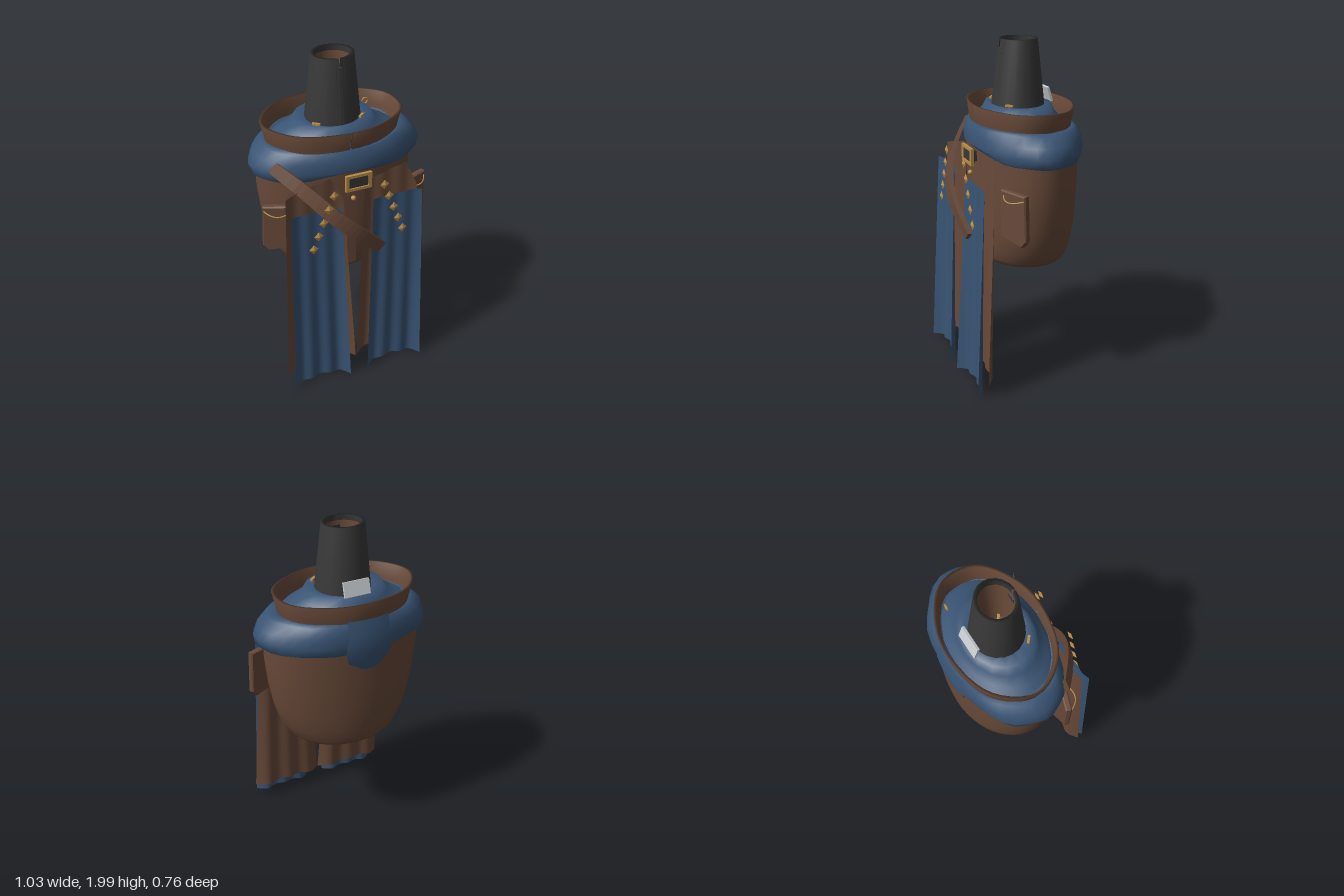
import * as THREE from 'three';
import { mergeVertices } from 'three/addons/utils/BufferGeometryUtils.js';

const mat = (name, color) => {
  const m = new THREE.MeshStandardMaterial({ color, side: THREE.DoubleSide });
  m.name = name;
  return m;
};

// Smooth surface from fn(u, v) -> [x, y, z]; u runs right, v runs up
function grid(nu, nv, fn, flat = false) {
  const pos = [], idx = [];
  for (let j = 0; j <= nv; j++)
    for (let i = 0; i <= nu; i++) pos.push(...fn(i / nu, j / nv, j));
  for (let j = 0; j < nv; j++)
    for (let i = 0; i < nu; i++) {
      const a = j * (nu + 1) + i, d = a + nu + 1;
      idx.push(a, a + 1, d + 1, a, d + 1, d);
    }
  let g = new THREE.BufferGeometry();
  g.setAttribute('position', new THREE.Float32BufferAttribute(pos, 3));
  g.setIndex(idx);
  g = flat ? g.toNonIndexed() : mergeVertices(g, 1e-4);
  g.computeVertexNormals();
  return g;
}

// Oval rings [y, rx, rz] stacked upward; warp(t, ring) returns [radius factor, y offset]
function loft(rings, cx, cz, warp = () => [1, 0], n = 48, gap = 0) {
  return grid(n, rings.length - 1, (u, v, j) => {
    const t = gap + u * (Math.PI * 2 - 2 * gap);
    const [y, rx, rz] = rings[j];
    const [s, dy] = warp(t, j);
    return [cx + rx * s * Math.sin(t), y + dy, cz + rz * s * Math.cos(t)];
  });
}

export function createModel() {
  const root = new THREE.Group();
  root.name = 'robe';
  const brown = mat('brown leather', 0x694a39);
  const blue = mat('blue cloth', 0x395474);
  const charcoal = mat('charcoal', 0x383838);
  const gold = mat('gold', 0xb88d48);
  const pale = mat('pale grey', 0xcaced2);
  const add = (name, geo, m, x = 0, y = 0, z = 0, parent = root) => {
    const mesh = new THREE.Mesh(geo, m);
    mesh.name = name;
    mesh.position.set(x, y, z);
    parent.add(mesh);
    return mesh;
  };
  const box = (w, h, d) => new THREE.BoxGeometry(w, h, d);

  // Barrel-shaped coat with an open hem
  add('coatBody', loft([
    [0.77, 0.285, 0.225], [0.735, 0.3, 0.238], [0.73, 0.315, 0.25], [0.76, 0.345, 0.264], [0.84, 0.39, 0.278],
    [0.95, 0.425, 0.287], [1.1, 0.452, 0.292], [1.25, 0.468, 0.292], [1.42, 0.468, 0.29],
  ], 0, -0.06), brown);
  add('coatLining', new THREE.CircleGeometry(1, 32).rotateX(-Math.PI / 2).scale(0.39, 1, 0.275), charcoal, 0, 0.86, -0.06);
  add('coatPlacket', box(0.06, 0.6, 0.014), brown, -0.01, 1.08, 0.228);

  // Rolled blue mantle with a lumpy edge
  const lump = (t, j) => [1 + 0.014 * Math.sin(5 * t + 0.6) + 0.012 * Math.sin(9 * t + j),
    j < 3 ? 0.045 * Math.max(0, Math.cos(t)) ** 8 : 0];
  add('mantle', loft([
    [1.4, 0.44, 0.28], [1.36, 0.475, 0.29], [1.37, 0.505, 0.3], [1.42, 0.515, 0.308],
    [1.48, 0.49, 0.302], [1.53, 0.435, 0.285], [1.54, 0.385, 0.268], [1.52, 0.35, 0.25],
  ], 0, -0.06, lump, 36), blue);
  add('yoke', loft([
    [1.52, 0.395, 0.27], [1.56, 0.32, 0.235], [1.59, 0.26, 0.205], [1.64, 0.225, 0.183], [1.625, 0.14, 0.13],
  ], -0.015, -0.05, undefined, 16), blue);

  // Hanging tail of the mantle at the back
  add('backFlap', grid(8, 6, (u, v) => {
    const k = u * 2 - 1, w = 0.1 + 0.04 * Math.sin(Math.PI * Math.min(v * 1.2, 0.8));
    return [-0.02 - k * w, 1.245 + 0.31 * v + 0.02 * k * k * (1 - v), -0.352 - 0.024 * Math.sin(v * 3.1) + 0.015 * k * k];
  }), blue);

  // Thin standing collar, split at the front
  add('collar', loft([
    [1.5, 0.385, 0.272], [1.56, 0.395, 0.279], [1.64, 0.415, 0.287], [1.64, 0.398, 0.274], [1.56, 0.382, 0.266], [1.5, 0.372, 0.259],
  ], -0.012, -0.06, (t, j) => [1 + 0.008 * Math.sin(7 * t),
    (j === 0 || j === 5 ? 0.03 : 0) * Math.max(0, Math.cos(t)) ** 40], 48, 0.01), brown);

  // Tapered neck with a notched front seam, brown lining and clasp inside
  add('neck', loft([
    [1.6, 0.163, 0.155], [2, 0.122, 0.11], [2, 0.1, 0.092], [1.6, 0.14, 0.132],
  ], -0.01, -0.05, undefined, 20, 0.06), charcoal);
  const seam = add('neckSeam', box(0.05, 0.35, 0.03), charcoal, -0.01, 1.775, 0.067);
  seam.rotation.x = -0.11;
  add('neckLining', loft([[1.6, 0.08, 0.075], [1.97, 0.101, 0.093]], -0.01, -0.05, undefined, 20), brown);
  add('neckFloor', new THREE.CircleGeometry(0.13, 20).rotateX(-Math.PI / 2), charcoal, -0.01, 1.61, -0.05);
  add('innerSeam', box(0.02, 0.02, 0.1), brown, -0.01, 1.64, -0.09);
  for (const s of [-1, 1]) {
    const arm = add('innerClasp', box(0.085, 0.015, 0.015), gold, -0.01 + s * 0.032, 1.65, -0.022);
    arm.rotation.y = -s * 0.68;
    const flap = add('innerFacing', box(0.1, 0.015, 0.04), brown, -0.01 + s * 0.035, 1.63, 0.002);
    flap.rotation.y = -s * 0.68;
    const clip = add('yokeClip', box(0.045, 0.012, 0.014), gold, -0.015 + s * 0.135, 1.645, 0.058);
    clip.rotation.y = s * 0.7;
  }
  const tag = add('neckTag', box(0.155, 0.085, 0.014), pale, -0.01, 1.68, -0.218);
  tag.rotation.x = 0.3;
  add('collarPin', new THREE.TorusGeometry(0.018, 0.005, 6, 10), gold, 0.26, 1.59, -0.2);

  // Front panels: brown under-panel with a peaked top, blue over-panel
  const mix = THREE.MathUtils.lerp;
  const curl = u => 0.04 * Math.abs(2 * u - 1) ** 5 + 0.008 * Math.cos(u * Math.PI * 6);
  function panel(name, m, top, bottom, yTop, yBot, zTop, zBot) {
    add(name, grid(28, 16, (u, v) => {
      const h = 1 - v;
      const x = mix(mix(bottom[0], bottom[1], u), mix(top[0], top[1], u), v);
      return [x, mix(yBot(u), yTop(u), v), mix(zTop, zBot, h) + curl(u) * (0.3 + 0.7 * h)];
    }), m);
  }
  const peak = u => (u < 0.8 ? 1.33 + 0.088 * u : 1.4 - (u - 0.8) * 0.75);
  const hem = base => u => base + 0.026 * Math.sin(Math.PI * u);
  panel('rightUnderPanel', brown, [-0.41, -0.07], [-0.46, -0.01], peak, hem(0.092), 0.238, 0.274);
  panel('leftUnderPanel', brown, [0.06, 0.385], [-0.005, 0.445], peak, hem(0.092), 0.238, 0.274);
  panel('rightOverPanel', blue, [-0.405, -0.105], [-0.435, -0.068], () => 1.245, hem(0.006), 0.3, 0.332);
  panel('leftOverPanel', blue, [0.085, 0.39], [0.047, 0.42], () => 1.245, hem(0.006), 0.3, 0.332);

  // Diagonal strap, a bent rectangular bar
  const path = new THREE.CatmullRomCurve3([
    [-0.425, 1.465, 0.12], [-0.3, 1.355, 0.235], [-0.17, 1.22, 0.325], [-0.05, 1.1, 0.352], [0.06, 0.99, 0.338], [0.14, 0.91, 0.318],
  ].map(p => new THREE.Vector3(...p)));
  const corners = [[-1, -1], [1, -1], [1, 1], [-1, 1], [-1, -1]];
  add('strap', grid(4, 22, (u, v, j) => {
    const k = THREE.MathUtils.clamp((j - 1) / 20, 0, 1);
    const open = j === 0 || j === 22 ? 0 : 1;
    const p = path.getPoint(k), [a, b] = corners[Math.round(u * 4)];
    const w = open * a * (0.024 + 0.006 * Math.sin(Math.PI * k));
    return [p.x + w, p.y + w, p.z + open * b * 0.014];
  }, true), brown);

  // Belt buckle
  const frame = new THREE.Shape();
  frame.moveTo(-0.078, -0.05).lineTo(0.078, -0.05).lineTo(0.078, 0.05).lineTo(-0.078, 0.05).closePath();
  const hole = new THREE.Path();
  hole.moveTo(-0.058, -0.033).lineTo(-0.058, 0.033).lineTo(0.058, 0.033).lineTo(0.058, -0.033).closePath();
  frame.holes.push(hole);
  add('buckleFrame', new THREE.ExtrudeGeometry(frame, { depth: 0.018, bevelEnabled: false }), gold, 0.012, 1.36, 0.262);
  add('bucklePlate', box(0.118, 0.068, 0.035), charcoal, 0.012, 1.36, 0.255);
  add('frontButton', new THREE.SphereGeometry(0.015, 10, 8), gold, -0.008, 1.245, 0.25);

  // Two slanting rows of diamond studs
  for (const s of [-1, 1])
    for (let i = 0; i < 5; i++)
      add('stud', new THREE.OctahedronGeometry(0.031).scale(0.9, 1, 0.35), gold,
        -0.012 + s * (0.15 + 0.031 * i), 1.35 - 0.081 * i, 0.34);

  // Side pockets with a hanging cord
  const pouch = new THREE.Shape();
  pouch.moveTo(-0.1, -0.12).lineTo(0.06, -0.145).lineTo(0.09, -0.11).lineTo(0.08, 0.14).lineTo(-0.1, 0.14).closePath();
  for (const s of [-1, 1]) {
    const pocket = new THREE.Group();
    pocket.name = s < 0 ? 'rightPocket' : 'leftPocket';
    pocket.position.set(s * 0.42, 1.09, 0.145);
    pocket.rotation.y = s * 0.36;
    root.add(pocket);
    const shape = s > 0 ? pouch : new THREE.Shape(pouch.getPoints().map(p => new THREE.Vector2(-p.x, p.y)).reverse());
    add('pouch', new THREE.ExtrudeGeometry(shape, { depth: 0.022, bevelSize: 0.006, bevelThickness: 0.008, bevelSegments: 1 }),
      brown, 0, 0, -0.012, pocket);
    const cord = new THREE.QuadraticBezierCurve3(
      new THREE.Vector3(-0.08, 0.12, 0.015), new THREE.Vector3(0, 0.09, 0.1), new THREE.Vector3(0.08, 0.12, 0.015));
    add('cord', new THREE.TubeGeometry(cord, 12, 0.004, 6), gold, 0, 0, 0, pocket);
  }
  return root;
}
